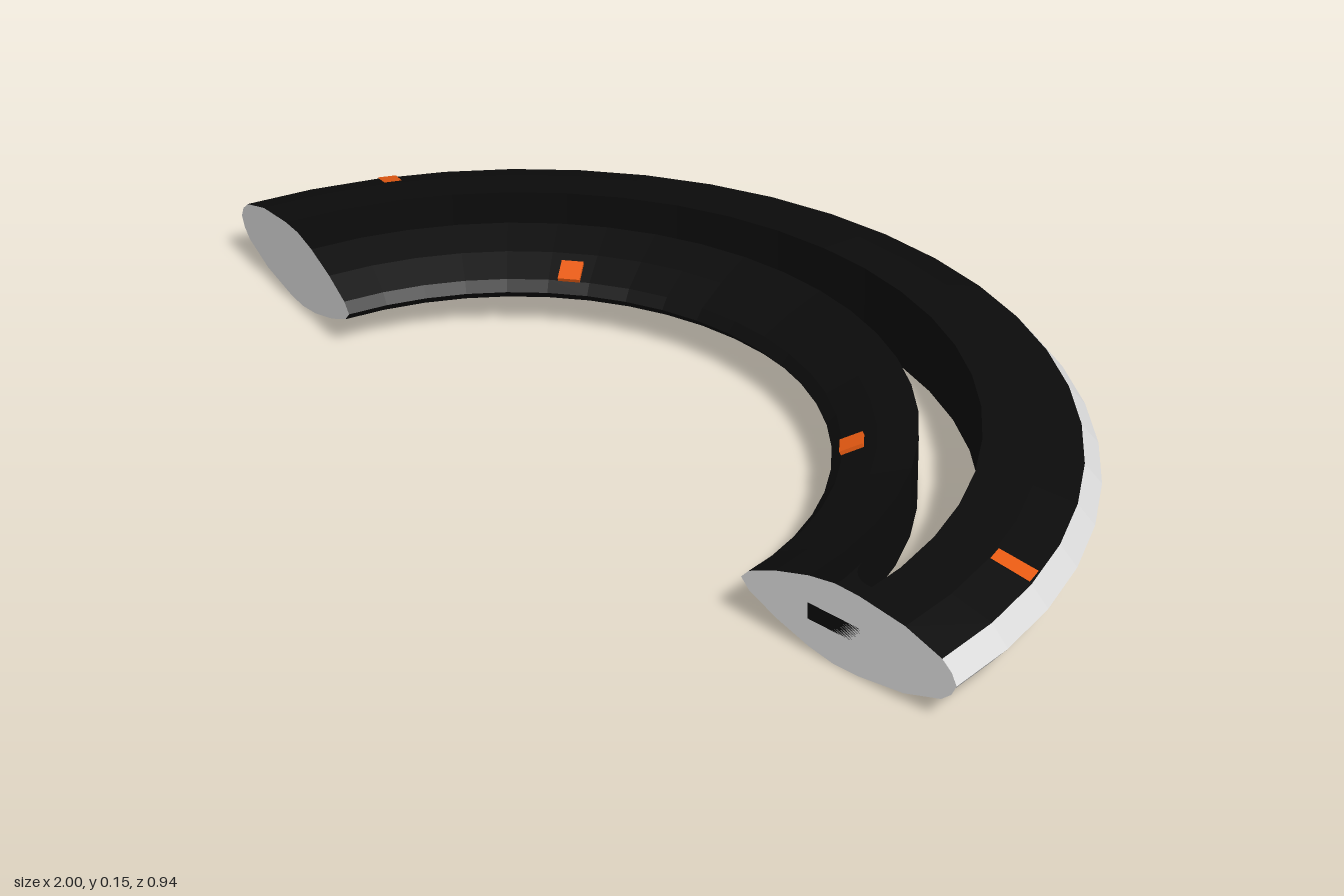
import * as THREE from 'three';

const START = THREE.MathUtils.degToRad(7.6);
const END = Math.PI - START;
const SEGMENTS = 22;

// Sweep a (radius, height) profile around the vertical axis, with flat facets
function sweep(profile, a0 = START, a1 = END, n = SEGMENTS) {
  const pos = [];
  const at = ([r, y], a) => [r * Math.cos(a), y, -r * Math.sin(a)];
  for (let i = 0; i < n; i++) {
    const a = a0 + ((a1 - a0) * i) / n;
    const b = a0 + ((a1 - a0) * (i + 1)) / n;
    for (let j = 0; j < profile.length - 1; j++) {
      const p = at(profile[j], a), q = at(profile[j + 1], a);
      const s = at(profile[j + 1], b), t = at(profile[j], b);
      pos.push(...p, ...q, ...s, ...p, ...s, ...t);
    }
  }
  const g = new THREE.BufferGeometry();
  g.setAttribute('position', new THREE.Float32BufferAttribute(pos, 3));
  g.computeVertexNormals();
  return g;
}

// Mirror a profile below the centre plane, keeping it facing outward
const flip = (profile) => profile.map(([r, y]) => [r, -y]).reverse();

export function createModel() {
  const black = new THREE.MeshStandardMaterial({ color: 0x0b0b0b });
  black.name = 'black shell';
  const light = new THREE.MeshStandardMaterial({ color: 0xdcdcdc, side: THREE.DoubleSide });
  light.name = 'light grey trim';
  const orange = new THREE.MeshStandardMaterial({ color: 0xe65a12 });
  orange.name = 'orange marks';

  const model = new THREE.Group();
  model.name = 'slottedArc';
  const add = (name, geometry, material) => {
    const mesh = new THREE.Mesh(geometry, material);
    mesh.name = name;
    model.add(mesh);
    return mesh;
  };

  const innerTop = [[0.56, 0], [0.577, 0.018], [0.635, 0.044], [0.705, 0.066]];
  const outerTop = [[0.81, 0.0745], [0.905, 0.062], [0.98, 0.037]];
  const edge = [[0.98, 0.037], [1.01, 0], [0.98, -0.037]];

  // Two curved rails with a slot between them
  add('innerRail', sweep([...innerTop, ...flip(innerTop)]), black);
  add('outerRail', sweep(outerTop), black);
  add('outerRailUnderside', sweep([...flip(outerTop), outerTop[0]]), black);
  add('outerEdgeBand', sweep(edge), light);

  // Flat end caps spanning the whole section
  const top = [...innerTop, [0.76, 0.0755], ...outerTop, [1.0, 0.02], [1.01, 0]];
  const section = [...top, ...flip(top).slice(1, -1)].map(([r, y]) => new THREE.Vector2(r, y));
  for (const [name, a] of [['leftEndCap', START], ['rightEndCap', END]]) {
    const cap = new THREE.ShapeGeometry(new THREE.Shape(section));
    // Turn the far cap over so both face out of the ends
    if (a === START) cap.rotateY(a);
    else cap.rotateY(START).scale(-1, 1, 1);
    if (a === END) {
      const index = cap.index.array;
      for (let i = 0; i < index.length; i += 3) [index[i], index[i + 1]] = [index[i + 1], index[i]];
      cap.computeVertexNormals();
    }
    add(name, cap, light);
  }

  // Thin bridge closing the left end of the slot with a rounded notch
  const notch = THREE.MathUtils.degToRad(19.4);
  const bridge = new THREE.Shape();
  bridge.absarc(0, 0, 0.812, START, notch, false);
  bridge.absarc(0.758 * Math.cos(notch), 0.758 * Math.sin(notch), 0.054, notch, notch + Math.PI, true);
  bridge.absarc(0, 0, 0.703, notch, START, true);
  const bridgeGeometry = new THREE.ExtrudeGeometry(bridge, { depth: 0.03, bevelEnabled: false, curveSegments: 12 });
  bridgeGeometry.rotateX(-Math.PI / 2).translate(0, -0.015, 0);
  add('slotBridge', bridgeGeometry, black);

  // Orange stripes on both faces, and buttons on the inner rail
  const stripe = [[0.908, 0.064], [0.977, 0.041]];
  const stripeAngle = THREE.MathUtils.degToRad(23.6);
  const buttonAngle = THREE.MathUtils.degToRad(48.8);
  for (const side of ['left', 'right']) {
    const mirror = (a) => (side === 'left' ? a : Math.PI - a);
    const a = mirror(stripeAngle);
    add(side + 'TopStripe', sweep(stripe, a - 0.018, a + 0.018, 1), orange);
    add(side + 'BottomStripe', sweep(flip(stripe), a - 0.018, a + 0.018, 1), orange);

    const button = new THREE.BoxGeometry(0.042, 0.009, 0.04);
    button.rotateZ(0.42).translate(0.593, 0.029, 0).rotateY(mirror(buttonAngle));
    add(side + 'Button', button, orange);
  }

  model.position.set(0, 0.0755, 0.54);
  const root = new THREE.Group();
  root.name = 'model';
  root.add(model);
  return root;
}
